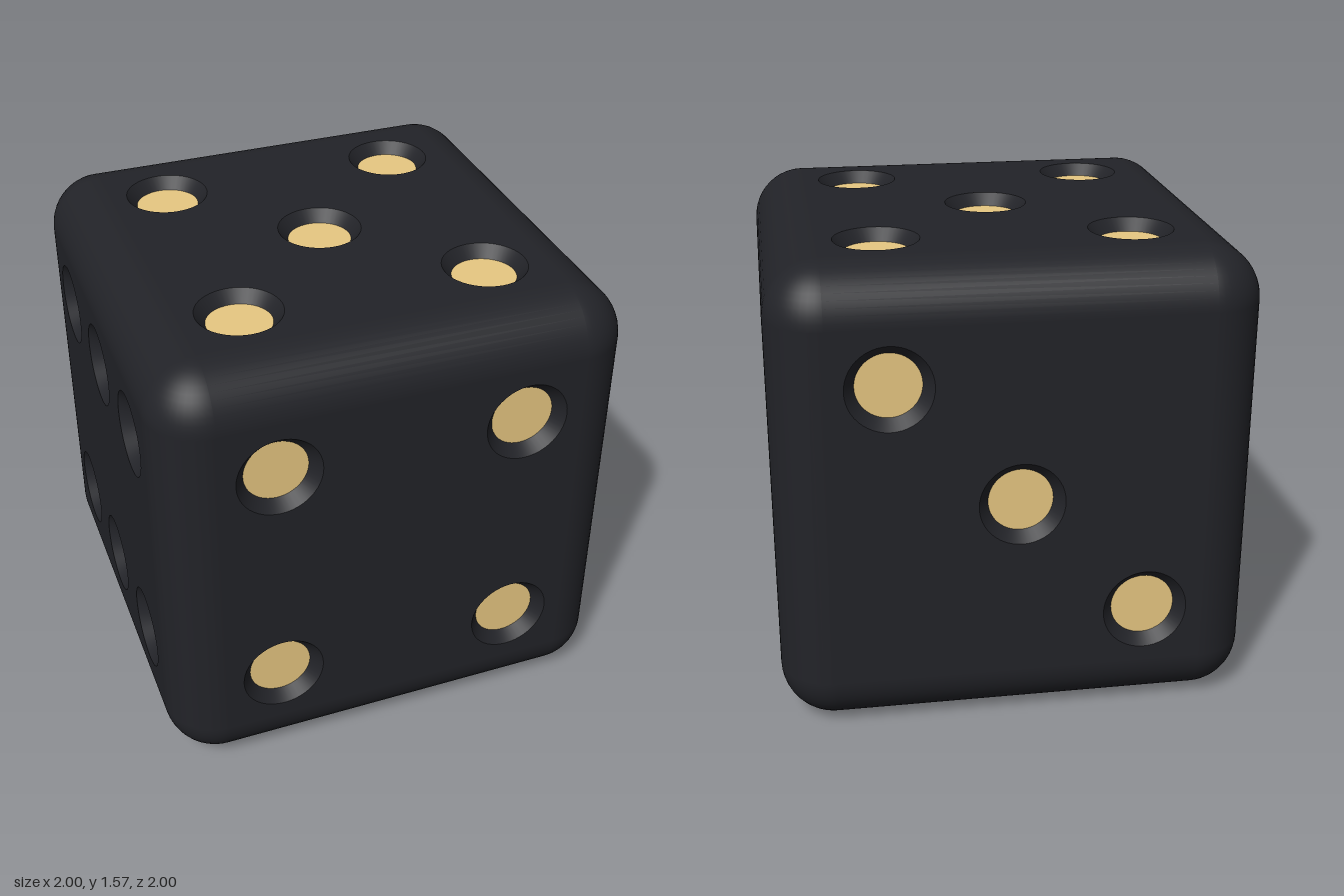
import * as THREE from 'three';
import { mergeGeometries } from 'three/addons/utils/BufferGeometryUtils.js';

const HALF = 0.787;        // half the cube side
const R = 0.18;            // edge rounding
const C = HALF - R;        // half the flat part of a face
const STEP = 0.414;        // pip spacing
const RIM = 0.14, FLOOR = 0.106, DEPTH = 0.04;
const Q = Math.PI / 2;

// Each face: rotation that turns +z to the face, and its pips in grid steps
const FACES = [
  { name: 'One', rot: [0, Q, 0], pips: [[0, 0]] },
  { name: 'Two', rot: [Q, 0, 0], pips: [[1, -1], [-1, 1]] },
  { name: 'Three', rot: [0, 2 * Q, 0], pips: [[-1, 1], [0, 0], [1, -1]] },
  { name: 'Four', rot: [0, 0, 0], pips: [[-1, 1], [1, 1], [-1, -1], [1, -1]] },
  { name: 'Five', rot: [-Q, 0, 0], pips: [[-1, 1], [1, 1], [0, 0], [-1, -1], [1, -1]] },
  { name: 'Six', rot: [0, -Q, 0], pips: [[-1, 1], [0, 1], [1, 1], [-1, -1], [0, -1], [1, -1]] },
];

const turn = (geo, [x, y, z]) =>
  geo.applyMatrix4(new THREE.Matrix4().makeRotationFromEuler(new THREE.Euler(x, y, z)));

// Flat face with round holes, plus the sloping wall of each recess
function faceParts({ rot, pips }) {
  const shape = new THREE.Shape([[-C, -C], [C, -C], [C, C], [-C, C]].map(p => new THREE.Vector2(...p)));
  const parts = [];
  for (const [u, v] of pips) {
    const hole = new THREE.Path();
    hole.absarc(u * STEP, v * STEP, RIM, 0, Math.PI * 2, true);
    shape.holes.push(hole);
    const wall = new THREE.LatheGeometry(
      [new THREE.Vector2(RIM, 0), new THREE.Vector2(FLOOR, -DEPTH)], 48);
    parts.push(wall.rotateX(Q).translate(u * STEP, v * STEP, HALF));
  }
  parts.push(new THREE.ShapeGeometry(shape, 24).translate(0, 0, HALF));
  return parts.map(g => turn(g, rot));
}

// Quarter-round edges and sphere-octant corners
function roundedParts() {
  const parts = [];
  for (let k = 0; k < 4; k++) {
    for (const axis of [[0, 0, 0], [Q, 0, 0], [0, 0, Q]]) {
      const edge = new THREE.CylinderGeometry(R, R, 2 * C, 12, 1, true, 0, Q);
      parts.push(turn(edge.translate(C, 0, C).rotateY(k * Q), axis));
    }
    for (const flip of [0, Math.PI]) {
      const corner = new THREE.SphereGeometry(R, 12, 12, Q, Q, 0, Q);
      parts.push(corner.translate(C, C, C).rotateX(flip).rotateY(k * Q));
    }
  }
  return parts;
}

export function createModel() {
  const black = new THREE.MeshStandardMaterial({ color: 0x222328 });
  const gold = new THREE.MeshStandardMaterial({ color: 0xe8c882 });
  const die = new THREE.Group();
  die.name = 'die';

  const body = new THREE.Mesh(mergeGeometries([...FACES.flatMap(faceParts), ...roundedParts()]), black);
  body.name = 'body';
  die.add(body);

  // Gold discs at the bottom of the recesses
  for (const { name, rot, pips } of FACES) {
    const discs = pips.map(([u, v]) =>
      turn(new THREE.CircleGeometry(FLOOR, 48).translate(u * STEP, v * STEP, HALF - DEPTH), rot));
    const mesh = new THREE.Mesh(mergeGeometries(discs), gold);
    mesh.name = 'pips' + name;
    die.add(mesh);
  }

  die.position.y = HALF;
  die.rotation.y = THREE.MathUtils.degToRad(28);
  const model = new THREE.Group();
  model.name = 'model';
  model.add(die);
  return model;
}
